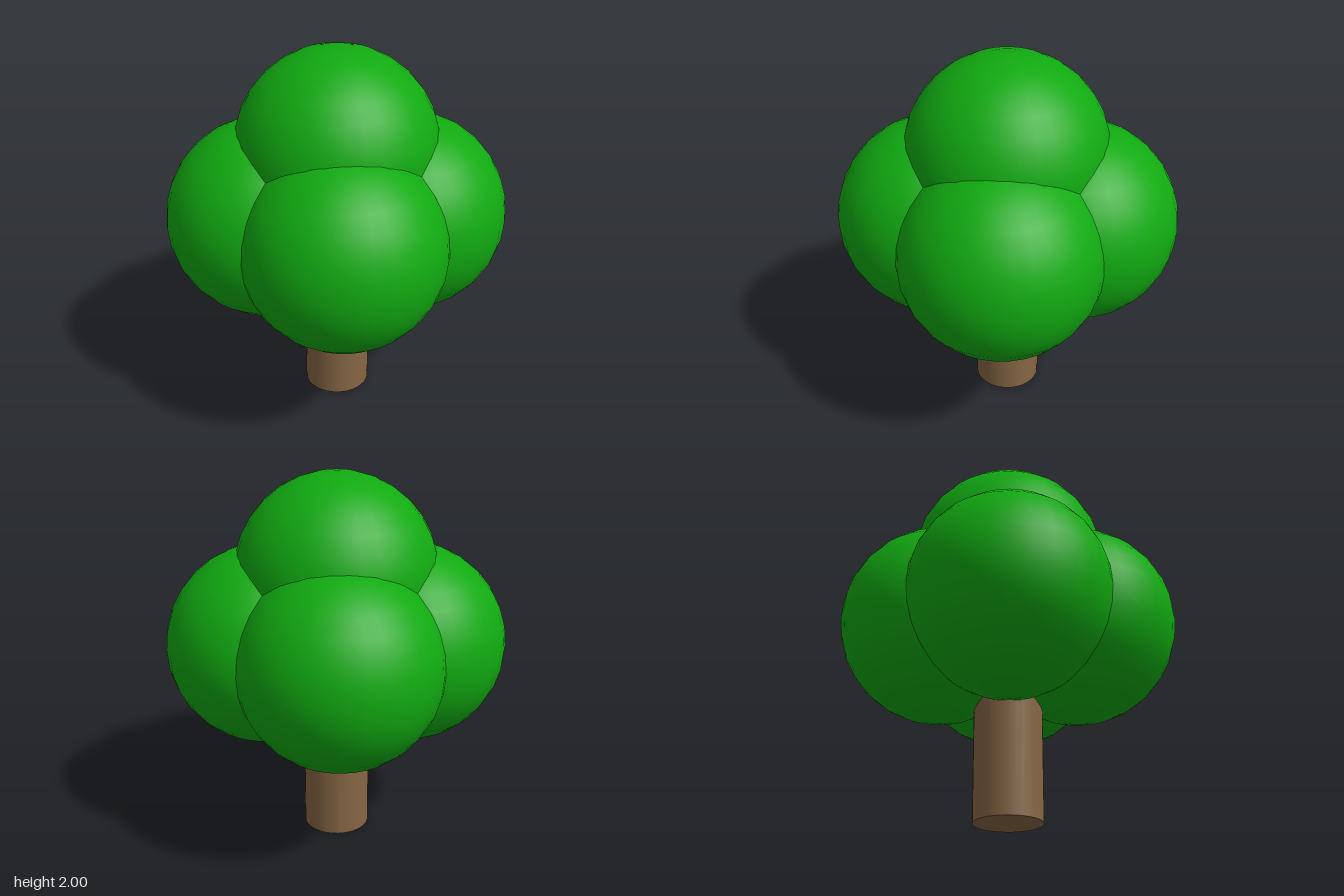
import * as THREE from 'three';

export function createModel() {
  const tree = new THREE.Group();
  tree.name = 'tree';
  const bark = new THREE.MeshStandardMaterial({ color: 0x866644 });
  const leaves = new THREE.MeshStandardMaterial({ color: 0x11aa11 });

  // Trunk, running up into the crown
  const trunkHeight = 1.0;
  const trunk = new THREE.Mesh(new THREE.CylinderGeometry(0.18, 0.18, trunkHeight, 32), bark);
  trunk.name = 'trunk';
  trunk.position.y = trunkHeight / 2;
  tree.add(trunk);

  // Crown: five equal overlapping balls, four around and one on top
  const radius = 0.535, offset = 0.37, crownY = 1.085;
  const ball = new THREE.SphereGeometry(radius, 32, 16);
  const crown = new THREE.Group();
  crown.name = 'crown';
  const addBall = (name, x, y, z) => {
    const mesh = new THREE.Mesh(ball, leaves);
    mesh.name = name;
    mesh.position.set(x, y, z);
    crown.add(mesh);
  };
  addBall('leftFoliage', offset, crownY, 0);
  addBall('rightFoliage', -offset, crownY, 0);
  addBall('frontFoliage', 0, crownY, offset);
  addBall('backFoliage', 0, crownY, -offset);
  addBall('topFoliage', 0, 2 - radius, 0);
  tree.add(crown);

  return tree;
}
